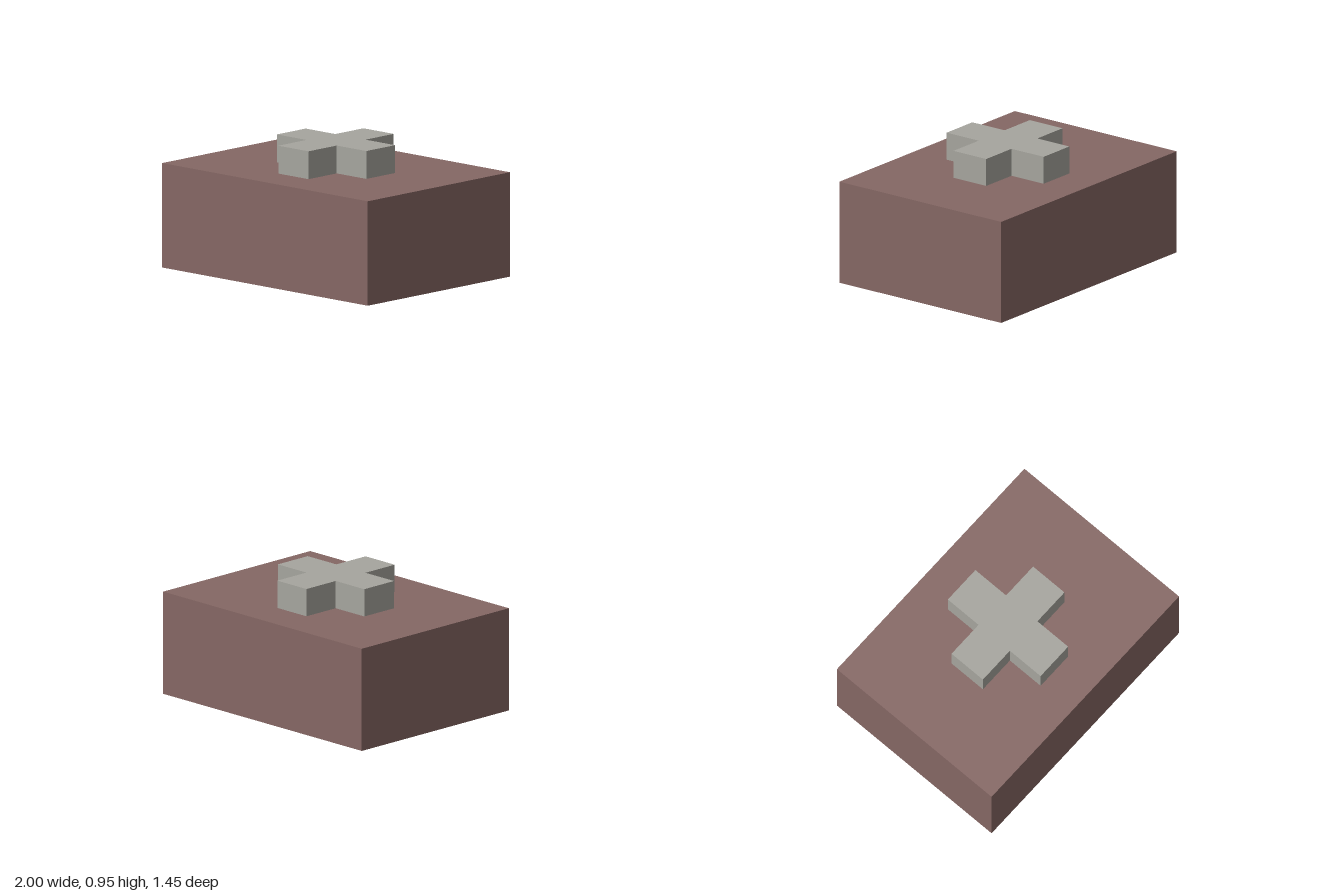
import * as THREE from 'three';

export function createModel() {
  const model = new THREE.Group();
  model.name = 'boxWithCross';

  // Solid rectangular base
  const baseHeight = 0.75;
  const base = new THREE.Mesh(
    new THREE.BoxGeometry(2, baseHeight, 1.45),
    new THREE.MeshStandardMaterial({ color: 0x856764 })
  );
  base.name = 'base';
  base.position.y = baseHeight / 2;
  model.add(base);

  // Raised plus-shaped block: one corner notch repeated in four quarter turns
  const reach = 0.435, half = 0.147;
  const corner = [[reach, -half], [reach, half], [half, half]];
  const points = [];
  for (let i = 0; i < 4; i++) {
    for (const [x, y] of corner) {
      points.push(new THREE.Vector2(x, y).rotateAround(new THREE.Vector2(), i * Math.PI / 2));
    }
  }
  // The notch point closes each quarter; the next arm starts at the following corner
  const crossGeometry = new THREE.ExtrudeGeometry(new THREE.Shape(points), { depth: 0.2, bevelEnabled: false });
  crossGeometry.rotateX(-Math.PI / 2);
  const cross = new THREE.Mesh(crossGeometry, new THREE.MeshStandardMaterial({ color: 0xa6a59e }));
  cross.name = 'raisedCross';
  cross.position.y = baseHeight;
  model.add(cross);

  return model;
}
